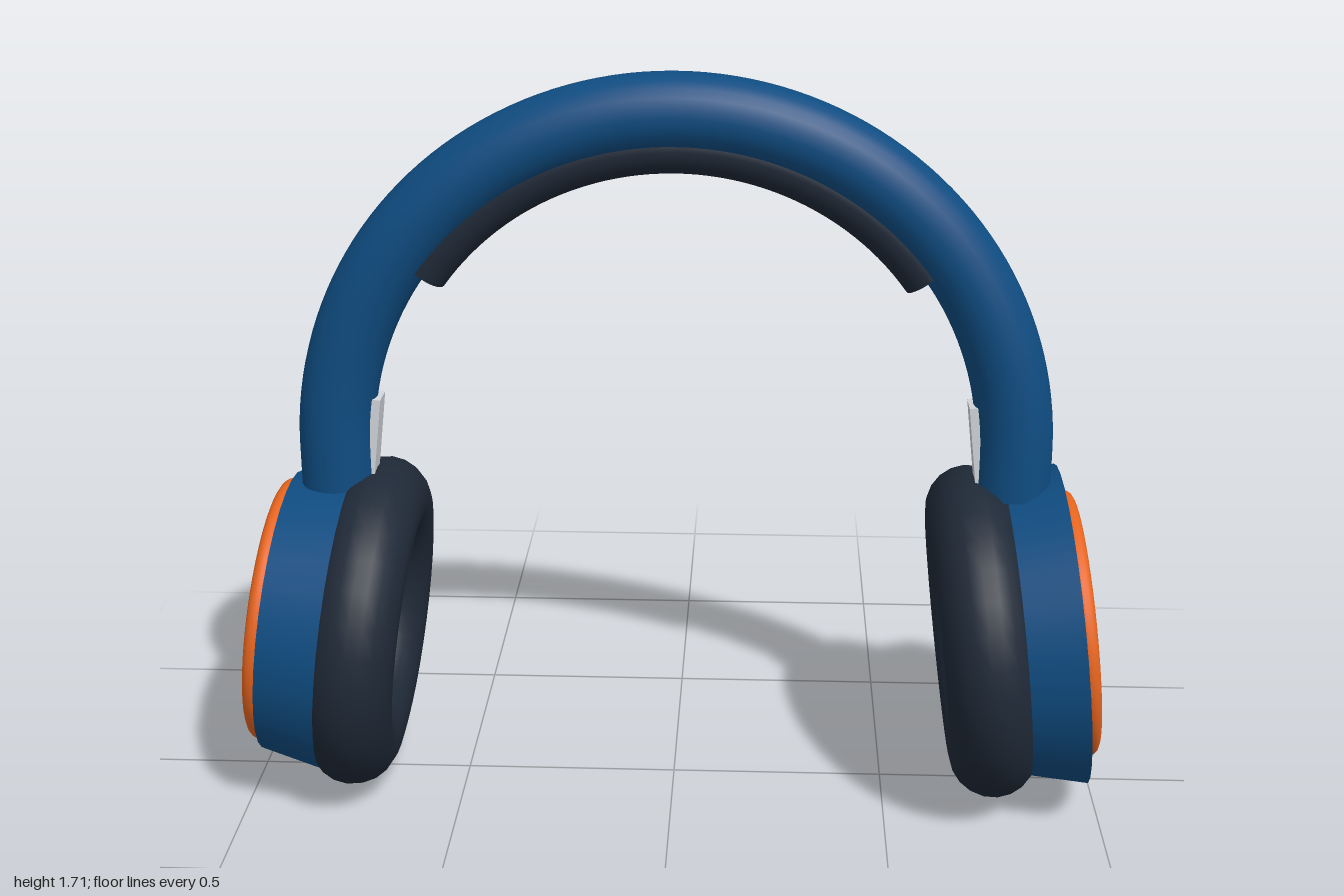
import * as THREE from 'three';

const paint = (name, color) => {
  const m = new THREE.MeshStandardMaterial({ color });
  m.name = name;
  return m;
};

export function createModel() {
  const blue = paint('blue shell', 0x0f4c81);
  const dark = paint('dark padding', 0x1f2937);
  const orange = paint('orange accent', 0xe8651f);
  const metal = paint('pale metal', 0xd1d5db);

  const add = (parent, name, geometry, material, x = 0, y = 0, z = 0) => {
    const mesh = new THREE.Mesh(geometry, material);
    mesh.name = name;
    mesh.position.set(x, y, z);
    parent.add(mesh);
    return mesh;
  };

  const model = new THREE.Group();
  model.name = 'headphones';

  // Headband: half ring with short straight stems
  const bandY = 0.847, bandR = 0.78, bandTube = 0.088, stemEnd = 0.75;
  add(model, 'headband', new THREE.TorusGeometry(bandR, bandTube, 24, 80, Math.PI), blue, 0, bandY);

  // Padding under the crown, with closed ends
  const padR = 0.701, padTube = 0.058, padStart = Math.PI * 0.2;
  const padArc = Math.PI - 2 * padStart;
  const pad = new THREE.Group();
  pad.name = 'headbandPad';
  pad.position.y = bandY;
  model.add(pad);
  add(pad, 'padArc', new THREE.TorusGeometry(padR, padTube, 20, 48, padArc), dark).rotation.z = padStart;
  for (const [angle, turn] of [[padStart, 1], [padStart + padArc, -1]]) {
    const cap = add(pad, 'padEnd', new THREE.CircleGeometry(padTube, 20), dark,
      padR * Math.cos(angle), padR * Math.sin(angle));
    cap.rotation.order = 'ZYX';
    cap.rotation.set(turn * Math.PI / 2, 0, angle);
  }

  const tilt = THREE.MathUtils.degToRad(6.6);
  for (const s of [1, -1]) {
    const side = s > 0 ? 'left' : 'right';
    add(model, side + 'Stem', new THREE.CylinderGeometry(bandTube, bandTube, bandY - stemEnd, 24),
      blue, s * bandR, (bandY + stemEnd) / 2);

    // Ear piece, leaning in at the top
    const ear = new THREE.Group();
    ear.name = side + 'EarPiece';
    ear.position.set(s * 0.724, 0.394, 0);
    ear.rotation.z = s * tilt;
    model.add(ear);

    // The tapered cup narrows towards -x on both sides
    add(ear, 'earCup', new THREE.CylinderGeometry(0.333, 0.377, 0.2, 32), blue, s * 0.111).rotation.z = Math.PI / 2;
    add(ear, 'earCushion', new THREE.TorusGeometry(0.293, 0.1, 20, 32), dark).rotation.y = Math.PI / 2;
    add(ear, 'accentRing', new THREE.TorusGeometry(0.291, 0.023, 14, 48), orange, s * 0.2215).rotation.y = Math.PI / 2;
    add(ear, 'slider', new THREE.BoxGeometry(0.03, 0.52, 0.07), metal, s * 0.028, 0.308);
  }

  return model;
}
